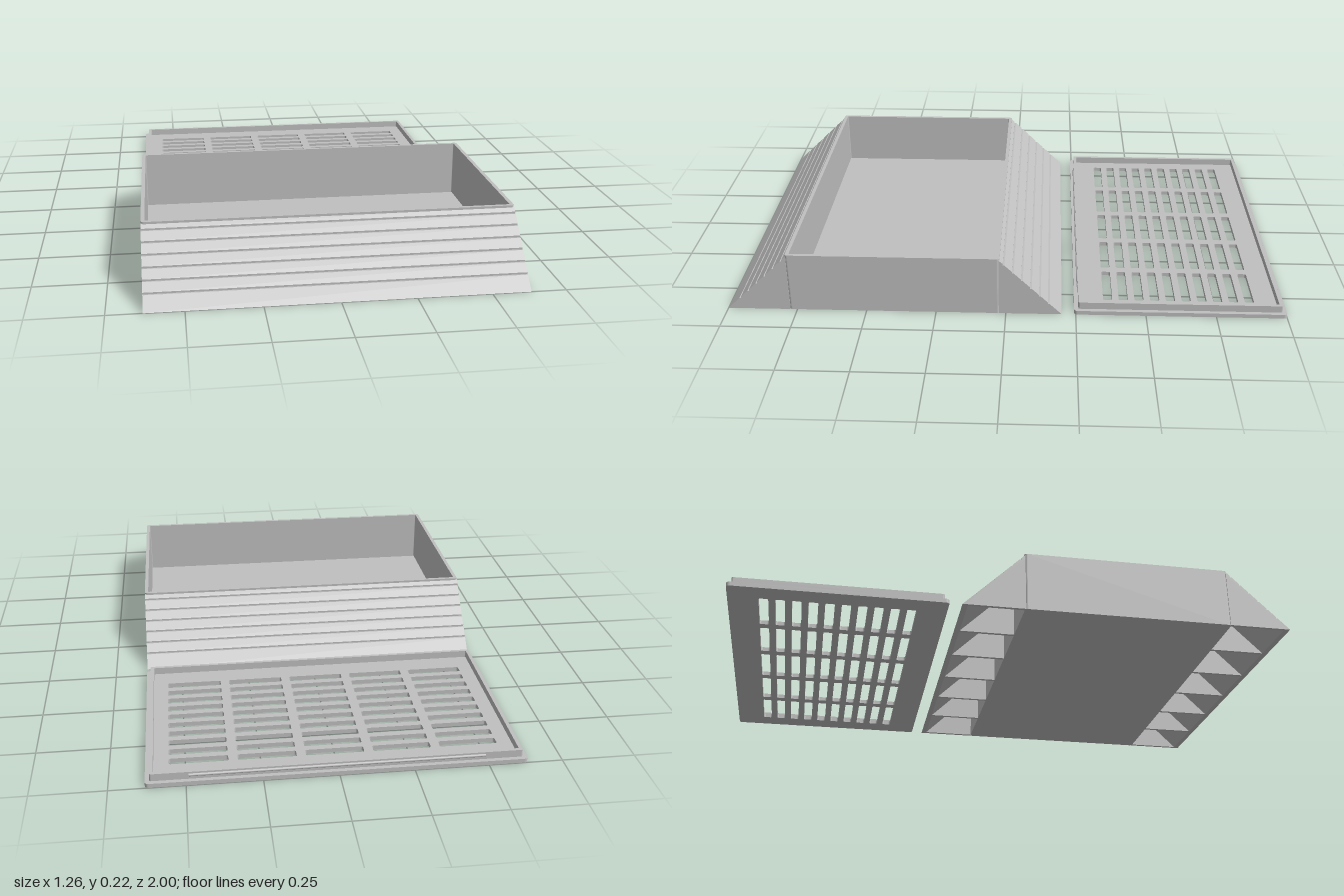
import * as THREE from 'three';

const WIDTH = 1.264, BOX_DEPTH = 0.756, BOX_HEIGHT = 0.222, WALL = 0.013;
const LID_DEPTH = 0.756, LID_Z = -0.622, BOX_Z = 0.4;

// Rounded rectangle outline, usable as a shape or as a hole
function roundRect(Type, cx, cy, w, h, r) {
  const p = new Type(), x = w / 2 - r, y = h / 2 - r;
  p.absarc(cx + x, cy + y, r, 0, Math.PI / 2);
  p.absarc(cx - x, cy + y, r, Math.PI / 2, Math.PI);
  p.absarc(cx - x, cy - y, r, Math.PI, Math.PI * 1.5);
  p.absarc(cx + x, cy - y, r, Math.PI * 1.5, Math.PI * 2);
  p.closePath();
  return p;
}

// Extrude a plan shape upwards
function rise(shape, height) {
  const g = new THREE.ExtrudeGeometry(shape, { depth: height, bevelEnabled: false, curveSegments: 4 });
  return g.rotateX(-Math.PI / 2);
}

// Extrude a side profile (outward, up) across the width, centred on x
function across(points, width, x = 0) {
  const shape = new THREE.Shape(points.map(([a, b]) => new THREE.Vector2(a, b)));
  const g = new THREE.ExtrudeGeometry(shape, { depth: width, bevelEnabled: false });
  return g.translate(0, 0, -width / 2).rotateY(-Math.PI / 2).translate(x, 0, 0);
}

export function createModel() {
  const model = new THREE.Group();
  const grey = new THREE.MeshStandardMaterial({ color: 0xc0c0c0 });
  grey.name = 'plain grey';

  const add = (parent, name, geometry, x = 0, y = 0, z = 0) => {
    const mesh = new THREE.Mesh(geometry, grey);
    mesh.name = name;
    mesh.position.set(x, y, z);
    parent.add(mesh);
    return mesh;
  };

  // Open tray: floor and a continuous wall
  const tray = new THREE.Group();
  tray.name = 'tray';
  tray.position.z = BOX_Z;
  model.add(tray);
  add(tray, 'trayFloor', rise(roundRect(THREE.Shape, 0, 0, WIDTH - 0.01, BOX_DEPTH - 0.01, 0.01), 0.015));
  const wall = roundRect(THREE.Shape, 0, 0, WIDTH, BOX_DEPTH, 0.01);
  wall.holes.push(roundRect(THREE.Path, 0, 0, WIDTH - 2 * WALL, BOX_DEPTH - 2 * WALL, 0.003));
  add(tray, 'trayWall', rise(wall, BOX_HEIGHT));

  // Sloping hollow wedges, with stepped grooves outside and ribs beneath
  const inner = BOX_DEPTH / 2 - 0.003, toe = 0.6, top = 0.217;
  const slope = (toe - inner) / top;
  const out = (y) => toe - y * slope;
  const skin = [[toe, 0]];
  for (let i = 0; i < 6; i++) {
    const y = 0.042 + i * 0.031, step = 0.006;
    skin.push([out(y), y], [out(y + step), y], [out(y + step), y + step]);
  }
  skin.push([inner, top], [inner, top - 0.02], [toe - 0.02, 0]);
  const rib = [[toe - 0.012, 0], [inner, top - 0.012], [inner, 0]];
  for (const side of [1, -1]) {
    const wedge = new THREE.Group();
    wedge.name = side > 0 ? 'frontWedge' : 'backWedge';
    wedge.rotation.y = side > 0 ? 0 : Math.PI;
    tray.add(wedge);
    add(wedge, 'groovedSlope', across(skin, WIDTH));
    for (let i = 0; i <= 6; i++) {
      const x = (i / 6 - 0.5) * (WIDTH - 0.012);
      add(wedge, i % 6 ? 'rib' : 'endWall', across(rib, 0.012, x));
    }
  }

  // Vented lid lying upside down behind the tray
  const lid = new THREE.Group();
  lid.name = 'lid';
  lid.position.z = LID_Z;
  model.add(lid);
  const plate = roundRect(THREE.Shape, 0, 0, WIDTH, LID_DEPTH, 0.012);
  for (let c = -2; c <= 2; c++) {
    for (let r = 0; r < 10; r++) {
      plate.holes.push(roundRect(THREE.Path, c * 0.228, (r - 4.5) * 0.0568, 0.197, 0.033, 0.006));
    }
  }
  add(lid, 'ventPlate', rise(plate, 0.015));

  // Locating lip on the lid
  const lipW = WIDTH - 0.03, lipD = LID_DEPTH - 0.03;
  const lip = roundRect(THREE.Shape, 0, 0, lipW, lipD, 0.006);
  lip.holes.push(roundRect(THREE.Path, 0, 0, lipW - 0.024, lipD - 0.024, 0.003));
  add(lid, 'lidLip', rise(lip, 0.027), 0, 0.014);

  // Snap ridges along the long sides of the lip
  for (const side of [1, -1]) {
    const ridge = new THREE.CylinderGeometry(0.005, 0.005, 0.98, 8).rotateZ(Math.PI / 2);
    add(lid, 'snapRidge', ridge, 0, 0.03, side * lipD / 2);
  }
  return model;
}
